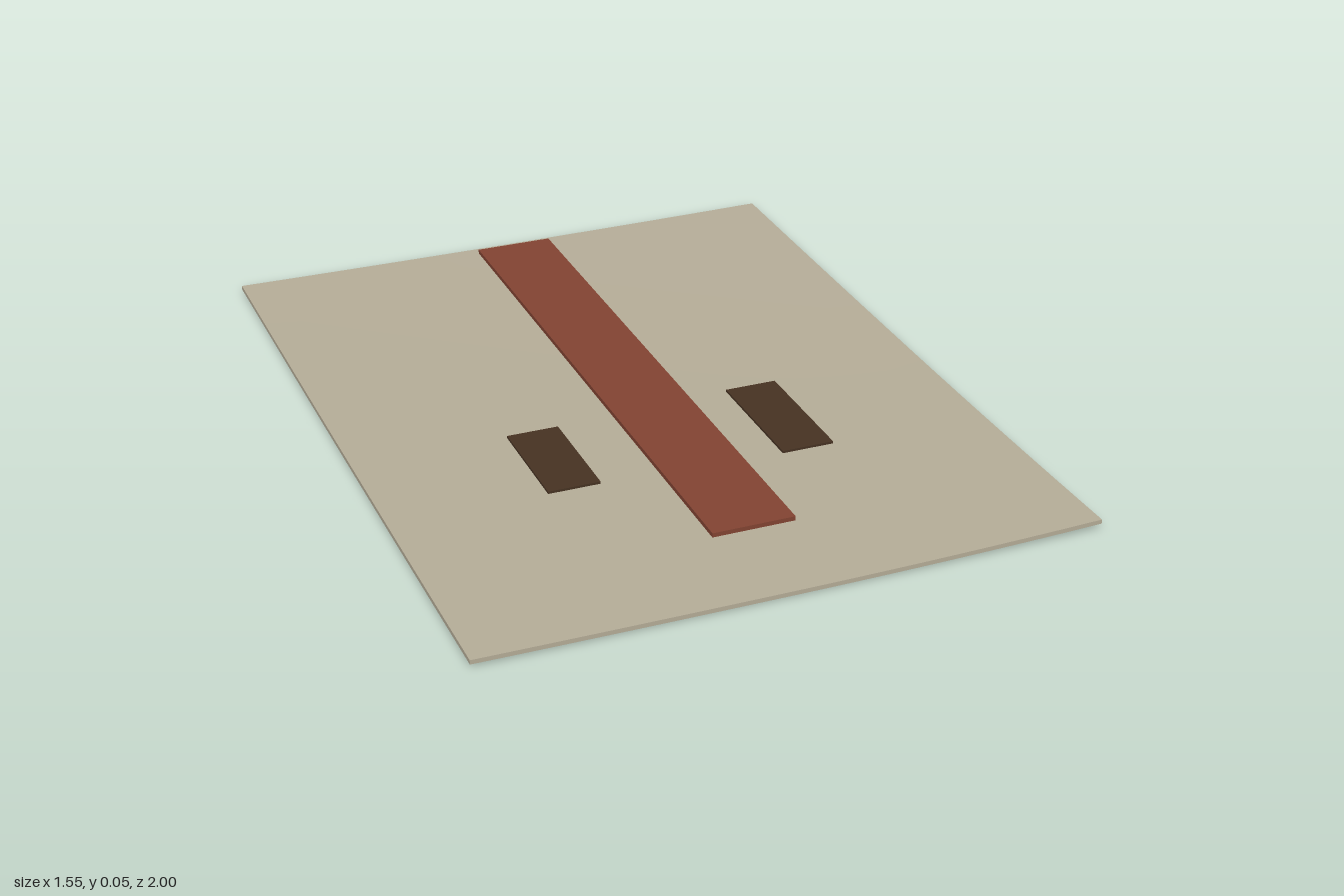
import * as THREE from 'three';

// Box between two corners
function slab(name, color, [x0, x1], [y0, y1], [z0, z1], segX = 1, segZ = 1) {
  const geometry = new THREE.BoxGeometry(x1 - x0, y1 - y0, z1 - z0, segX, 1, segZ);
  geometry.translate((x0 + x1) / 2, (y0 + y1) / 2, (z0 + z1) / 2);
  const mesh = new THREE.Mesh(geometry, new THREE.MeshStandardMaterial({ color }));
  mesh.name = name;
  return mesh;
}

export function createModel() {
  const group = new THREE.Group();
  group.name = 'groundWithStrips';

  // Thin ground sheet, curling up slightly at its edges and most at the front left corner
  const ground = slab('ground', 0xb5ad98, [-0.775, 0.775], [0, 0.011], [-1, 1], 16, 20);
  const pos = ground.geometry.attributes.position;
  for (let i = 0; i < pos.count; i++) {
    const u = pos.getX(i) / 0.775;
    const v = pos.getZ(i);
    const corner = Math.max(u, 0) * Math.max(v, 0);
    pos.setY(i, pos.getY(i) + 0.004 * (u * u + v * v) + 0.009 * corner * corner);
  }
  ground.geometry.computeVertexNormals();
  group.add(ground);

  // Long central strip
  group.add(slab('centralStrip', 0x824332, [-0.105, 0.105], [0.035, 0.046], [-0.93, 0.75]));

  // Dark patches on either side
  group.add(slab('rightPatch', 0x463222, [-0.388, -0.255], [0.036, 0.042], [0.13, 0.425]));
  group.add(slab('leftPatch', 0x463222, [0.21, 0.345], [0.036, 0.042], [0.105, 0.45]));

  return group;
}
